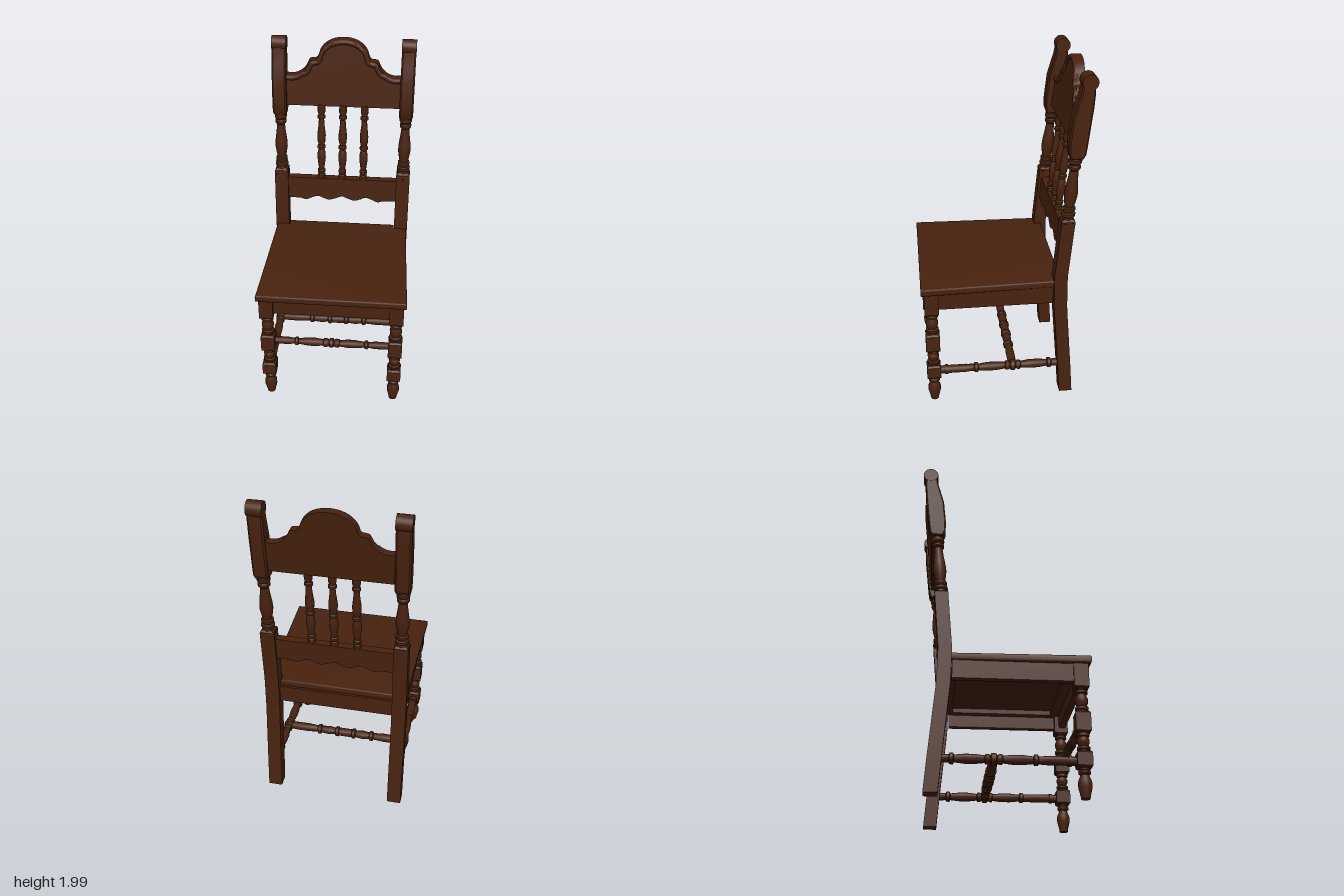
import * as THREE from 'three';
import { toCreasedNormals } from 'three/addons/utils/BufferGeometryUtils.js';

const wood = new THREE.MeshStandardMaterial({ color: 0x48220f });
wood.name = 'dark walnut';

// Centre line of the raked back: [height, z]
const RAKE = [[0, -0.375], [0.2, -0.36], [0.62, -0.324], [0.82, -0.32], [1.2, -0.353], [1.6, -0.387], [2, -0.441]];

function rake(y) {
  let i = 0;
  while (i < RAKE.length - 2 && y > RAKE[i + 1][0]) i++;
  const [y0, z0] = RAKE[i], [y1, z1] = RAKE[i + 1];
  return z0 + (z1 - z0) * (y - y0) / (y1 - y0);
}

// Shear a geometry so that it follows the raked back
function lean(geo) {
  const p = geo.attributes.position;
  for (let i = 0; i < p.count; i++) p.setZ(i, p.getZ(i) + rake(p.getY(i)));
  return geo;
}

// Turned part from [height, radius] pairs, closed at both ends
function turned(profile, sides = 16) {
  const pts = profile.map(([y, r]) => new THREE.Vector2(r, y));
  pts.unshift(new THREE.Vector2(0, profile[0][0]));
  pts.push(new THREE.Vector2(0, profile[profile.length - 1][0]));
  return new THREE.LatheGeometry(pts, sides);
}

// Square block with chamfered ends
function block(y0, y1, half, c = 0.01) {
  const k = Math.SQRT2;
  return turned([[y0, (half - c) * k], [y0 + c, half * k], [y1 - c, half * k], [y1, (half - c) * k]], 4)
    .rotateY(Math.PI / 4);
}

// Mirror a half profile [distance from middle, radius] into a full one
function mirrored(half) {
  return [...half.slice().reverse().map(([d, r]) => [-d, r]), ...half.filter(([d]) => d > 0)];
}

function box(w, h, d, x, y, z) {
  return new THREE.BoxGeometry(w, h, d).translate(x, y, z);
}

function outline(points) {
  return new THREE.Shape(points.map(([x, y]) => new THREE.Vector2(x, y)));
}

// Smooth symmetric curve from its right half, returned left to right
function symmetricCurve(half, n) {
  const pts = [...half.slice(1).reverse().map(([x, y]) => [-x, y]), ...half];
  const curve = new THREE.CatmullRomCurve3(pts.map(([x, y]) => new THREE.Vector3(x, y, 0)), false, 'centripetal');
  return curve.getPoints(n).map(v => [v.x, v.y]);
}

export function createModel() {
  const chair = new THREE.Group();
  chair.name = 'chair';
  const add = (name, geo, crease = 0.65) => {
    const mesh = new THREE.Mesh(toCreasedNormals(geo, crease), wood);
    mesh.name = name;
    chair.add(mesh);
  };

  // Seat board, notched around the back posts
  const half = [[0.433, -0.478], [0.412, 0.285], [0.334, 0.285], [0.334, 0.325]];
  const seat = outline([...half, ...half.slice().reverse().map(([x, y]) => [-x, y])]);
  add('seat', new THREE.ExtrudeGeometry(seat, {
    depth: 0.024, bevelThickness: 0.01, bevelSize: 0.01, bevelOffset: -0.01, bevelSegments: 3,
  }).rotateX(-Math.PI / 2).translate(0, 0.763, 0));

  // Apron frame under the seat
  add('frontApron', box(0.7, 0.105, 0.04, 0, 0.7025, 0.425));
  add('backApron', box(0.7, 0.105, 0.04, 0, 0.7025, -0.315));
  add('frontSeatRail', box(0.68, 0.03, 0.06, 0, 0.74, 0.38));
  add('backSeatRail', box(0.68, 0.03, 0.05, 0, 0.74, -0.28));

  // Parts made once for each side
  const foot = [[0.01, 0.024], [0.03, 0.027], [0.07, 0.037], [0.1, 0.037], [0.125, 0.027], [0.135, 0.023],
    [0.142, 0.033], [0.155, 0.034], [0.162, 0.026], [0.175, 0.026]];
  const lowerUrn = [[0.255, 0.028], [0.268, 0.028], [0.273, 0.036], [0.285, 0.036], [0.29, 0.024], [0.31, 0.033],
    [0.325, 0.034], [0.34, 0.025], [0.345, 0.034], [0.355, 0.034], [0.365, 0.028]];
  const upperUrn = [[0.475, 0.028], [0.488, 0.028], [0.493, 0.037], [0.508, 0.037], [0.514, 0.026], [0.535, 0.035],
    [0.555, 0.036], [0.575, 0.027], [0.582, 0.025], [0.587, 0.036], [0.6, 0.036], [0.606, 0.028], [0.62, 0.028]];
  const postVase = [[1.165, 0.033], [1.19, 0.03], [1.196, 0.039], [1.212, 0.039], [1.218, 0.028], [1.23, 0.036],
    [1.245, 0.036], [1.25, 0.026], [1.28, 0.032], [1.32, 0.038], [1.36, 0.036], [1.42, 0.028], [1.465, 0.024],
    [1.475, 0.034], [1.49, 0.035], [1.497, 0.027], [1.51, 0.037], [1.53, 0.037], [1.538, 0.03], [1.56, 0.036]];
  const sideStretcher = mirrored([[0, 0.032], [0.012, 0.032], [0.018, 0.022], [0.03, 0.028], [0.042, 0.028],
    [0.048, 0.02], [0.1, 0.026], [0.15, 0.026], [0.205, 0.02], [0.21, 0.03], [0.228, 0.03], [0.234, 0.021], [0.29, 0.024]]);
  // Side profile of the upper post, as [-z, y]
  const finial = outline([[0.35, 1.535], [0.337, 1.57], [0.337, 1.63], [0.352, 1.77], [0.372, 1.84], [0.388, 1.895],
    [0.4, 1.96], [0.46, 1.96], [0.465, 1.9], [0.46, 1.82], [0.437, 1.61], [0.43, 1.56], [0.415, 1.535]]);

  for (const s of [1, -1]) {
    const side = s > 0 ? 'left' : 'right';
    const x = 0.378 * s;

    // Front leg: alternating blocks and turnings
    const legParts = {
      Foot: turned(foot), LowerBlock: block(0.17, 0.26, 0.041), LowerTurning: turned(lowerUrn),
      MiddleBlock: block(0.36, 0.48, 0.041), UpperTurning: turned(upperUrn), TopBlock: block(0.61, 0.762, 0.041),
    };
    for (const [part, geo] of Object.entries(legParts)) add(side + 'FrontLeg' + part, geo.translate(x, 0, 0.42));

    // Back post: leg, turned vase, carved upper block and rolled top
    const leg = new THREE.BoxGeometry(0.083, 1.14, 0.076, 1, 24, 1).translate(0, 0.59, 0);
    add(side + 'BackLeg', lean(leg).translate(x, 0, 0), 0.4);
    add(side + 'BackLegChamfer', lean(block(1.13, 1.18, 0.039, 0.012)).translate(x, 0, 0));
    add(side + 'BackPostTurning', lean(turned(postVase)).translate(x, 0, 0));
    add(side + 'BackPostTop', new THREE.ExtrudeGeometry(finial, {
      depth: 0.065, bevelThickness: 0.009, bevelSize: 0.008, bevelOffset: -0.008, bevelSegments: 1,
    }).translate(0, 0, -0.0325).rotateY(Math.PI / 2).translate(x, 0, 0), 0.4);
    add(side + 'BackPostRoll', new THREE.CylinderGeometry(0.043, 0.043, 0.085, 24)
      .rotateZ(Math.PI / 2).translate(x, 1.957, -0.434));

    // Side apron and stretcher
    add(side + 'SideApron', box(0.04, 0.105, 0.68, 0.388 * s, 0.7025, 0.06));
    add(side + 'SideSeatRail', box(0.05, 0.03, 0.68, 0.345 * s, 0.74, 0.05));
    add(side + 'SideStretcher', turned(sideStretcher).rotateX(Math.PI / 2).translate(x, 0.21, -0.052));
    add(side + 'SideStretcherEnd', new THREE.CylinderGeometry(0.024, 0.024, 0.17, 16)
      .rotateX(Math.PI / 2).translate(x, 0.21, 0.31));
    add(side + 'SideStretcherBead', new THREE.CylinderGeometry(0.029, 0.029, 0.018, 16)
      .rotateX(Math.PI / 2).translate(x, 0.21, 0.345));
  }

  // Front and cross stretchers
  const frontTurning = mirrored([[0, 0.028], [0.01, 0.028], [0.015, 0.02], [0.028, 0.026], [0.045, 0.026],
    [0.05, 0.019], [0.1, 0.025], [0.14, 0.024], [0.195, 0.017], [0.2, 0.026], [0.215, 0.026], [0.22, 0.017],
    [0.26, 0.022], [0.31, 0.022], [0.35, 0.018]]);
  add('frontStretcher', turned(frontTurning).rotateZ(Math.PI / 2).translate(0, 0.425, 0.42));
  const crossTurning = mirrored([[0, 0.026], [0.04, 0.026], [0.045, 0.032], [0.062, 0.032], [0.068, 0.022],
    [0.11, 0.027], [0.155, 0.022], [0.16, 0.031], [0.178, 0.031], [0.184, 0.021], [0.25, 0.026], [0.32, 0.025],
    [0.375, 0.02]]);
  add('crossStretcher', turned(crossTurning).rotateZ(Math.PI / 2).translate(0, 0.21, -0.052));

  // Lower back rail with a scalloped bottom edge
  const scallop = symmetricCurve([[0, 0.998], [0.035, 0.985], [0.08, 0.972], [0.115, 0.982], [0.15, 0.995],
    [0.185, 0.985], [0.225, 0.968], [0.26, 0.976], [0.345, 0.978]], 64);
  const lowerRail = outline([...scallop, [0.345, 1.118], [-0.345, 1.118]]);
  add('lowerBackRail', lean(new THREE.ExtrudeGeometry(lowerRail, { depth: 0.045, bevelEnabled: false })
    .translate(0, 0, -0.022)));

  // Three turned back spindles
  const spindle = [[1.11, 0.022], [1.14, 0.023], [1.146, 0.016], [1.155, 0.024], [1.17, 0.024], [1.176, 0.016],
    [1.2, 0.02], [1.25, 0.026], [1.285, 0.024], [1.31, 0.017], [1.316, 0.025], [1.33, 0.025], [1.336, 0.017],
    [1.36, 0.024], [1.4, 0.026], [1.46, 0.019], [1.505, 0.016], [1.511, 0.024], [1.525, 0.024], [1.531, 0.016],
    [1.55, 0.023], [1.6, 0.023]];
  for (const [name, x] of [['left', 0.13], ['middle', 0], ['right', -0.13]]) {
    add(name + 'Spindle', lean(turned(spindle)).translate(x, 0, 0));
  }

  // Arched crest rail with shoulders
  const crestHalf = [[0, 1.99], [0.05, 1.984], [0.1, 1.962], [0.135, 1.925], [0.153, 1.878], [0.165, 1.868],
    [0.2, 1.862], [0.212, 1.84], [0.228, 1.812], [0.26, 1.785], [0.3, 1.772], [0.345, 1.775]];
  const crest = symmetricCurve(crestHalf, 80);
  const crestShape = outline([[-0.345, 1.592], [0.345, 1.592], ...crest.slice().reverse()]);
  add('crestRail', lean(new THREE.ExtrudeGeometry(crestShape, { depth: 0.048, bevelEnabled: false })
    .translate(0, 0, -0.032)));

  // Bead moulding along the crest edge
  const beadPath = new THREE.CatmullRomCurve3(
    crest.map(([x, y]) => new THREE.Vector3(Math.abs(x) < 0.24 ? x * 0.94 : x, y - 0.014, 0.014)));
  add('crestMoulding', lean(new THREE.TubeGeometry(beadPath, 90, 0.015, 10)), 1.2);

  return chair;
}
